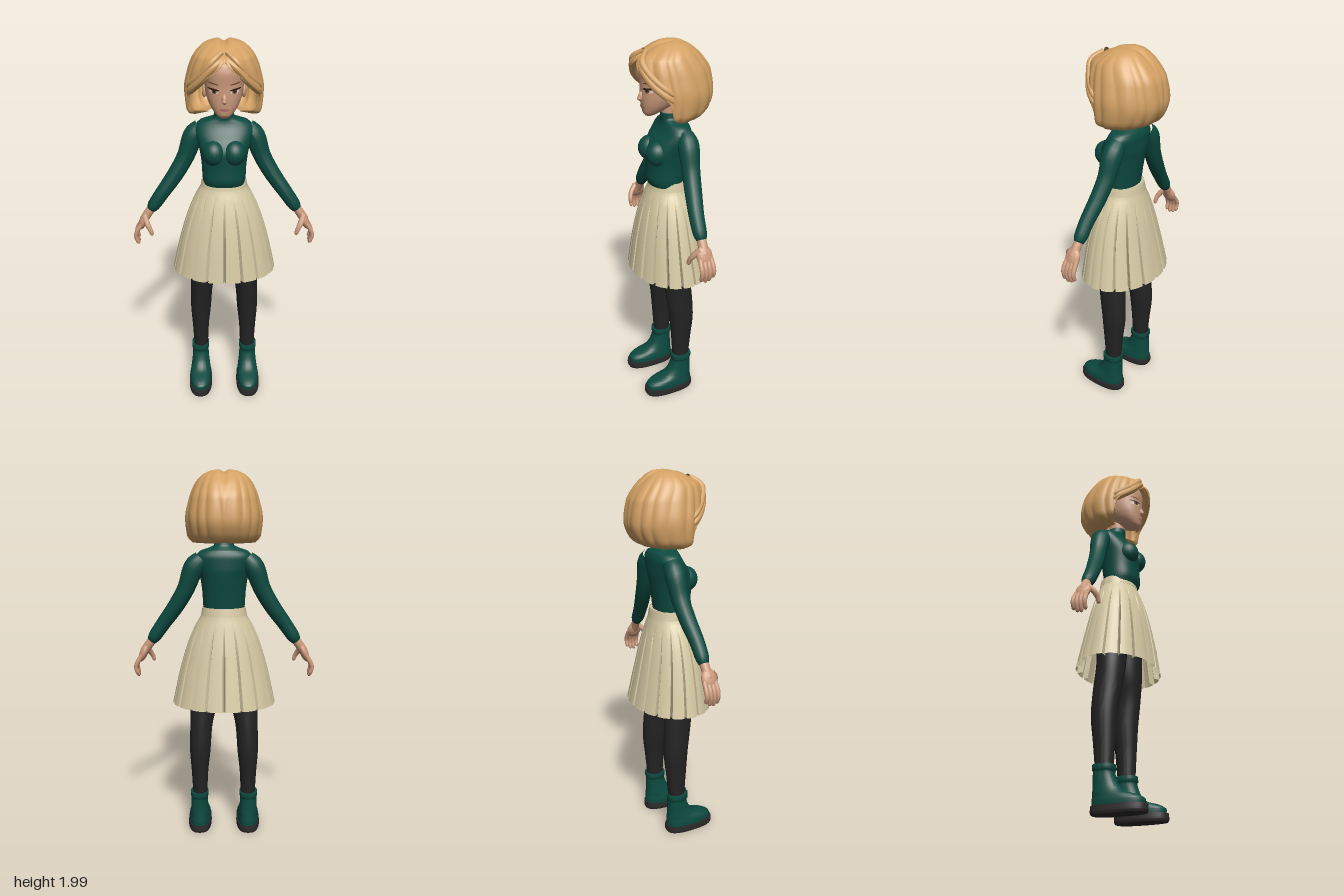
import * as THREE from 'three';
import { toCreasedNormals } from 'three/addons/utils/BufferGeometryUtils.js';

const paint = (name, color, double = false) => {
  const m = new THREE.MeshStandardMaterial({ color });
  m.name = name;
  if (double) m.side = THREE.DoubleSide;
  return m;
};

// Smooth, overshoot-free interpolation of rows [key, a, b, ...] at key y
function sample(rows, y) {
  let i = 0;
  while (i < rows.length - 2 && y > rows[i + 1][0]) i++;
  const slope = (k, c) => (rows[k + 1][c] - rows[k][c]) / (rows[k + 1][0] - rows[k][0]);
  const tangent = (k, c) => {
    if (k === 0) return slope(0, c);
    if (k === rows.length - 1) return slope(k - 1, c);
    const a = slope(k - 1, c), b = slope(k, c);
    return a * b <= 0 ? 0 : (2 * a * b) / (a + b);
  };
  const h = rows[i + 1][0] - rows[i][0], t = THREE.MathUtils.clamp((y - rows[i][0]) / h, 0, 1);
  return rows[i].map((v, c) => c === 0 ? y :
    v * (1 + 2 * t) * (1 - t) ** 2 + rows[i + 1][c] * t * t * (3 - 2 * t)
    + h * (tangent(i, c) * t * (1 - t) ** 2 - tangent(i + 1, c) * t * t * (1 - t)));
}

// Surface closed around u, rising with v, with optional flat caps
function wrap(nu, nv, point, caps = true, crease = 0.9) {
  const pos = [], idx = [];
  for (let j = 0; j <= nv; j++)
    for (let i = 0; i < nu; i++) pos.push(...point(i / nu, j / nv, j));
  for (let j = 0; j < nv; j++)
    for (let i = 0; i < nu; i++) {
      const a = j * nu + i, b = j * nu + (i + 1) % nu;
      idx.push(a, b, b + nu, a, b + nu, a + nu);
    }
  if (caps) for (const j of [0, nv]) {
    const c = [0, 0, 0];
    for (let i = 0; i < nu; i++) for (let k = 0; k < 3; k++) c[k] += pos[(j * nu + i) * 3 + k] / nu;
    const m = pos.length / 3;
    pos.push(...c);
    for (let i = 0; i < nu; i++) {
      const a = j * nu + i, b = j * nu + (i + 1) % nu;
      idx.push(...(j ? [m, a, b] : [m, b, a]));
    }
  }
  const g = new THREE.BufferGeometry();
  g.setAttribute('position', new THREE.Float32BufferAttribute(pos, 3));
  g.setIndex(idx);
  g.computeVertexNormals();
  return crease ? toCreasedNormals(g, crease) : g;
}

// Stack of horizontal ovals from rows [y, half width, front z, back z, centre x]
function loft(rows, power = 2, nu = 40, sub = 5) {
  const bend = (v) => Math.sign(v) * Math.abs(v) ** (2 / power);
  const nv = (rows.length - 1) * sub;
  return wrap(nu, nv, (u, v, j) => {
    const k = Math.min(Math.floor(j / sub), rows.length - 2);
    const y = THREE.MathUtils.lerp(rows[k][0], rows[k + 1][0], j / sub - k);
    const [, rx, zf, zb, cx = 0] = sample(rows, y), a = u * Math.PI * 2;
    return [cx + rx * bend(Math.sin(a)), y, (zf + zb) / 2 + (zf - zb) / 2 * bend(Math.cos(a))];
  });
}

// Tube of changing radius along a smooth path of [x, y, z, radius]
function limb(path, sides = 16) {
  const n = 24, curve = new THREE.CatmullRomCurve3(path.map((p) => new THREE.Vector3(p[0], p[1], p[2])));
  const radii = path.map((p, i) => [i / (path.length - 1), p[3]]);
  const g = new THREE.TubeGeometry(curve, n, 1, sides), pos = g.attributes.position, v = new THREE.Vector3();
  for (let i = 0; i < pos.count; i++) {
    const t = Math.floor(i / (sides + 1)) / n, c = curve.getPointAt(t);
    let r = sample(radii, curve.getUtoTmapping(t))[1];
    r *= Math.sqrt(Math.max(0, 1 - Math.max(0, (t - 0.88) / 0.12) ** 2));
    v.fromBufferAttribute(pos, i).sub(c).multiplyScalar(r).add(c);
    pos.setXYZ(i, v.x, v.y, v.z);
  }
  g.computeVertexNormals();
  return g;
}

export function createModel() {
  const model = new THREE.Group();
  const skin = paint('skin', 0xcb9a7c), hair = paint('honey hair', 0xd3a164, true);
  const green = paint('dark green', 0x0c4a40), cream = paint('cream skirt', 0xd5c9a3, true);
  const tights = paint('black tights', 0x232323), rubber = paint('sole rubber', 0x2d2a2a);
  const dark = paint('lash brown', 0x2e1e16), iris = paint('iris brown', 0x7a4a26);
  const lip = paint('lip pink', 0xb8776a), white = paint('eye white', 0xe2d6cc);
  const add = (name, geometry, material, parent = model) => {
    const m = new THREE.Mesh(geometry, material);
    m.name = name;
    parent.add(m);
    return m;
  };
  const ball = (name, material, p, s, parent) => {
    const m = add(name, new THREE.SphereGeometry(1, 24, 16), material, parent);
    m.position.set(...p);
    m.scale.set(...s);
    return m;
  };

  // Sweater body with collar
  add('sweater', loft([
    [1.265, 0.106, 0.112, -0.064], [1.3, 0.112, 0.124, -0.068], [1.36, 0.115, 0.122, -0.076],
    [1.44, 0.125, 0.125, -0.088], [1.5, 0.14, 0.1, -0.095], [1.55, 0.15, 0.062, -0.095],
    [1.585, 0.125, 0.045, -0.086], [1.603, 0.075, 0.042, -0.068], [1.615, 0.052, 0.044, -0.056],
    [1.642, 0.048, 0.045, -0.05]], 2.2), green);
  for (const s of [-1, 1]) ball('bust', green, [0.052 * s, 1.445, 0.085], [0.058, 0.065, 0.062]);

  // Pleated skirt: flat panels parted by narrow grooves that deepen towards the hem
  const skirtRows = [[0.76, 0.28, 0.22, -0.205], [0.95, 0.237, 0.192, -0.165], [1.1, 0.192, 0.16, -0.132],
    [1.2, 0.148, 0.128, -0.106], [1.25, 0.12, 0.108, -0.092], [1.29, 0.112, 0.1, -0.085]];
  const pleats = 18, stops = [0, 0.04, 0.09, 0.2, 0.5, 0.8, 0.91, 0.96];
  add('pleatedSkirt', wrap(pleats * 8, 24, (u, v) => {
    const k = Math.round(u * pleats * 8), f = stops[k % 8], a = (Math.floor(k / 8) + f) / pleats * Math.PI * 2;
    const y = 0.76 + 0.53 * v, [, rx, zf, zb] = sample(skirtRows, y);
    const edge = Math.min(f, 1 - f), deep = THREE.MathUtils.clamp((0.86 - v) / 0.5, 0, 1);
    const r = 1 - deep * (0.13 * Math.max(0, 1 - edge / 0.08) + 0.012 * (1 - 2 * edge));
    return [rx * r * Math.sin(a), y, (zf + zb) / 2 + (zf - zb) / 2 * r * Math.cos(a)];
  }, false, 0.6), cream);
  add('waistband', loft([[1.245, 0.123, 0.111, -0.095], [1.285, 0.115, 0.103, -0.088]]), cream);

  for (const s of [-1, 1]) {
    const side = s > 0 ? 'left' : 'right';
    const mirror = (rows) => rows.map((r) => [r[0], r[1], r[2], r[3], r[4] * s]);
    const path = (pts) => pts.map((p) => [p[0] * s, p[1], p[2], p[3]]);

    // Leg, boot and sole
    add(side + 'Leg', loft(mirror([
      [0.2, 0.039, 0.036, -0.054, 0.135], [0.35, 0.046, 0.045, -0.068, 0.135], [0.5, 0.058, 0.056, -0.082, 0.132],
      [0.62, 0.061, 0.072, -0.076, 0.126], [0.77, 0.077, 0.09, -0.064, 0.108], [1, 0.085, 0.1, -0.08, 0.09]])), tights);
    add(side + 'Boot', loft(mirror([
      [0.03, 0.06, 0.198, -0.066, 0.138], [0.06, 0.061, 0.2, -0.068, 0.138], [0.08, 0.058, 0.175, -0.066, 0.138],
      [0.105, 0.053, 0.1, -0.064, 0.138], [0.15, 0.048, 0.06, -0.062, 0.138], [0.205, 0.046, 0.045, -0.062, 0.138],
      [0.212, 0.05, 0.049, -0.066, 0.138], [0.236, 0.05, 0.048, -0.066, 0.138]]), 2.4), green);
    add(side + 'Sole', loft(mirror([[0, 0.062, 0.206, -0.07, 0.138], [0.012, 0.066, 0.211, -0.074, 0.138],
      [0.04, 0.065, 0.21, -0.073, 0.138]]), 2.6), rubber);

    // Sleeve
    add(side + 'Sleeve', limb(path([[0.115, 1.55, -0.035, 0.042], [0.155, 1.505, -0.034, 0.054],
      [0.2, 1.39, -0.028, 0.046], [0.255, 1.295, -0.016, 0.043], [0.33, 1.19, 0, 0.038], [0.402, 1.085, 0.004, 0.034]])), green);

    // Hand
    const hand = new THREE.Group();
    hand.name = side + 'Hand';
    model.add(hand);
    add('wrist', limb(path([[0.37, 1.13, 0.003, 0.022], [0.4, 1.09, 0.004, 0.024], [0.44, 1.03, 0.008, 0.024]])), skin, hand);
    ball('palm', skin, [0.434 * s, 1.037, 0.008], [0.022, 0.055, 0.042], hand).rotation.z = 0.4 * s;
    [0, 1, 2, 3].forEach((i) => {
      const z = 0.038 - i * 0.021, drop = [0.01, 0, 0.004, 0.02][i];
      add('finger', limb(path([[0.44, 1.03, z * 0.9, 0.012], [0.468, 0.985, z, 0.0125],
        [0.475, 0.95 + drop / 2, z, 0.0115], [0.462, 0.902 + drop, z, 0.01]]), 10), skin, hand);
    });
    add('thumb', limb(path([[0.425, 1.07, 0.025, 0.016], [0.408, 1.035, 0.056, 0.015],
      [0.392, 1.005, 0.068, 0.012], [0.383, 0.975, 0.07, 0.01]]), 10), skin, hand);
  }

  // Head
  const faceRows = [[1.638, 0.022, 0.128, 0.085], [1.65, 0.038, 0.138, 0.06], [1.67, 0.056, 0.143, 0.02],
    [1.7, 0.075, 0.147, -0.03], [1.74, 0.09, 0.149, -0.08], [1.79, 0.098, 0.149, -0.12], [1.85, 0.1, 0.153, -0.13],
    [1.9, 0.085, 0.14, -0.1], [1.94, 0.045, 0.09, -0.05]];
  add('head', loft(faceRows, 2.3, 48), skin);
  add('neck', loft([[1.6, 0.042, 0.038, -0.045], [1.72, 0.042, 0.05, -0.05]]), skin);
  ball('nose', skin, [0, 1.737, 0.149], [0.013, 0.026, 0.016]).rotation.x = -0.3;
  ball('noseTip', skin, [0, 1.727, 0.158], [0.012, 0.01, 0.012]);

  // Painted features laid on the face surface
  const patch = (name, material, x, y, rx, ry, lift, tilt = 0) => {
    const g = new THREE.RingGeometry(0, 1, 20, 4), p = g.attributes.position;
    for (let i = 0; i < p.count; i++) {
      const px = x + p.getX(i) * rx, py = y + p.getY(i) * ry + tilt * p.getX(i);
      const [, w, zf, zb] = sample(faceRows, py);
      const q = Math.max(0, 1 - Math.min(1, Math.abs(px / w)) ** 2.3) ** (1 / 2.3);
      p.setXYZ(i, px, py, (zf + zb) / 2 + (zf - zb) / 2 * q + lift);
    }
    g.computeVertexNormals();
    add(name, g, material);
  };
  for (const s of [-1, 1]) {
    patch('eyeWhite', white, 0.05 * s, 1.772, 0.022, 0.011, 0.002);
    patch('iris', iris, 0.049 * s, 1.773, 0.012, 0.011, 0.0035);
    patch('pupil', dark, 0.049 * s, 1.773, 0.006, 0.006, 0.005);
    patch('lash', dark, 0.053 * s, 1.783, 0.028, 0.005, 0.006, 0.003 * s);
    patch('brow', iris, 0.053 * s, 1.81, 0.027, 0.0035, 0.003, 0.004 * s);
    ball('ear', skin, [0.098 * s, 1.745, 0.015], [0.012, 0.032, 0.02]);
  }
  patch('lips', lip, 0, 1.684, 0.024, 0.008, 0.003);

  // Bob hair: ridged shell with centre parting, curtain front and an inward-curled hem
  const hairRows = [[1.62, 0.155, 0.15, -0.12], [1.66, 0.187, 0.18, -0.183], [1.75, 0.196, 0.19, -0.217],
    [1.85, 0.177, 0.188, -0.203], [1.92, 0.15, 0.168, -0.16], [1.96, 0.118, 0.105, -0.117],
    [1.985, 0.075, 0.055, -0.08], [2, 0, -0.02, -0.02]];
  const hemRows = [[0, 1.915], [0.45, 1.84], [0.8, 1.79], [1.1, 1.74], [1.3, 1.645], [1.6, 1.625], [3.15, 1.63]];
  add('bobHair', wrap(180, 48, (u, v) => {
    const a = u > 0.5 ? (u - 1) * Math.PI * 2 : u * Math.PI * 2, phi = Math.abs(a);
    const hem = sample(hemRows, phi)[1], s = Math.max(0, (v - 0.1) / 0.9), curl = Math.max(0, 1 - v / 0.1);
    let y = hem + (2 - hem) * (1 - (1 - s) ** 2);
    const [, rx, zf, zb] = sample(hairRows, y);
    const tuck = THREE.MathUtils.lerp(0.06, 0.5, THREE.MathUtils.smoothstep(phi, 1.15, 1.5));
    const ridge = Math.abs(Math.sin(phi * 8 + 2.2 * s + 0.5 * Math.sin(phi * 5))) - 0.55;
    const r = (1 + 0.045 * ridge * (1 - s * s)) * (1 - tuck * curl);
    const x = rx * r * Math.sin(a);
    y += 0.03 * curl * tuck - 0.018 * Math.exp(-((x / 0.018) ** 2)) * s;
    return [x, y, (zf + zb) / 2 + (zf - zb) / 2 * r * Math.cos(a)];
  }, false, 0), hair);
  for (const s of [-1, 1])
    for (const [d, w] of [[0, 0.02], [0.03, 0.016]])
      add('sweptBang', limb([[0.012 * s, 1.925 + d, 0.155 - d, 0.012], [0.06 * s, 1.885 + d, 0.163, w],
        [0.11 * s, 1.825 + d, 0.138, w], [0.155 * s, 1.775 + d, 0.09, w], [0.182 * s, 1.735 + d, 0.04, 0.008]], 12), hair);

  return model;
}
